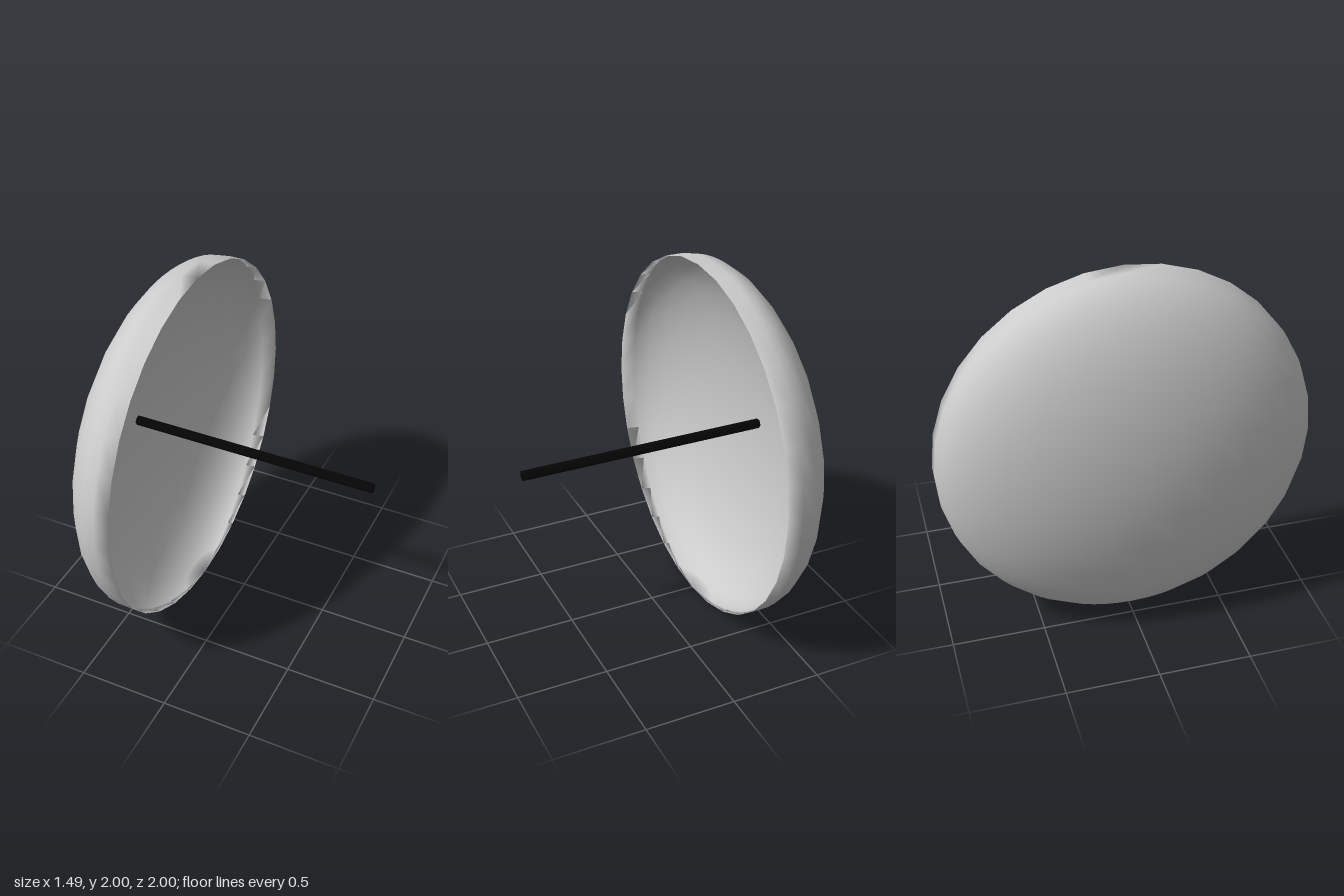
import * as THREE from 'three';
import { mergeGeometries, mergeVertices } from 'three/addons/utils/BufferGeometryUtils.js';

const RIM = -0.26;  // x of the open edge
const LIP = 0.085;  // wall depth along x
const DEPTH = 0.4;  // depth of the bowl

// Half ellipsoid bulging towards -x, with its open edge at x = edge
function halfBowl(edge) {
  const bowl = new THREE.SphereGeometry(1, 16, 16, -Math.PI / 2, Math.PI);
  return bowl.scale(DEPTH, 1, 1).translate(edge, 0, 0);
}

// Back bowl, straight lip and hollow front, welded so shading is smooth throughout
function dishGeometry() {
  const back = halfBowl(RIM - LIP);
  const hollow = halfBowl(RIM);
  hollow.setIndex(Array.from(hollow.index.array).reverse());
  const lip = new THREE.CylinderGeometry(1, 1, LIP, 32, 1, true);
  lip.rotateZ(-Math.PI / 2).translate(RIM - LIP / 2, 0, 0);

  const parts = [back, lip, hollow];
  for (const part of parts) {
    part.deleteAttribute('uv');
    part.deleteAttribute('normal');
  }
  const welded = mergeVertices(mergeGeometries(parts), 1e-4);
  welded.computeVertexNormals();
  return welded;
}

export function createModel() {
  const model = new THREE.Group();

  // Hollow dish opening towards +x
  const grey = new THREE.MeshStandardMaterial({ color: 0xcccccc });
  const dish = new THREE.Mesh(dishGeometry(), grey);
  dish.name = 'dish';
  dish.position.y = 1;
  model.add(dish);

  // Six-sided rod along the dish axis, rooted in the wall of the bowl
  const start = -0.7, end = 0.745;
  const black = new THREE.MeshStandardMaterial({ color: 0x050505, flatShading: true });
  const rod = new THREE.Mesh(new THREE.CylinderGeometry(0.027, 0.027, end - start, 6), black);
  rod.name = 'rod';
  rod.rotation.z = -Math.PI / 2;
  rod.position.set((start + end) / 2, 1, 0);
  model.add(rod);

  return model;
}
